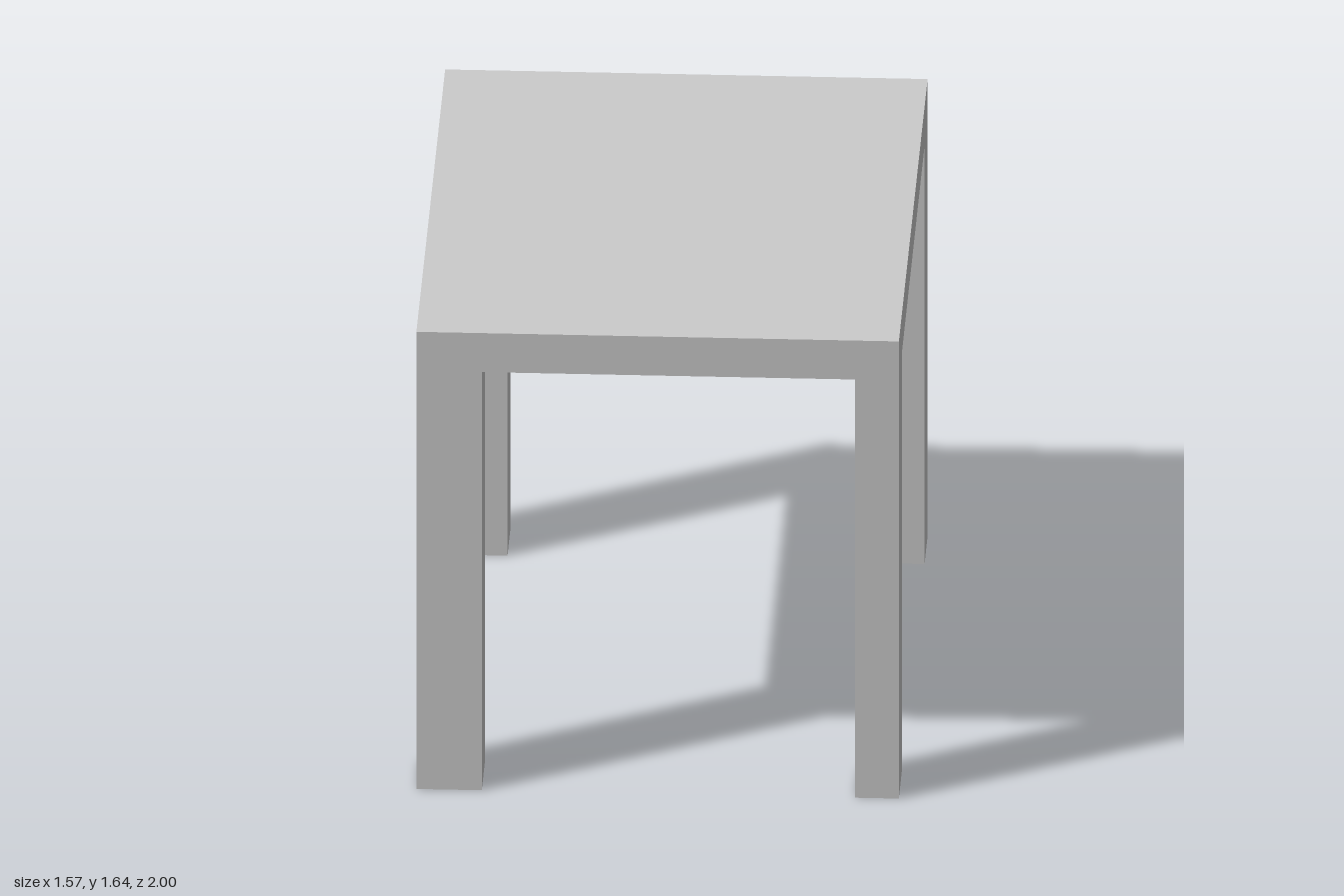
import * as THREE from 'three';

const WIDTH = 1.57, DEPTH = 2, HEIGHT = 1.643, UNDERSIDE = 1.503;
const LEG_DEPTH = 0.212;

export function createModel() {
  const table = new THREE.Group();
  table.name = 'table';
  const material = new THREE.MeshStandardMaterial({ color: 0xcccccc, flatShading: true });

  const addBox = (name, w, h, d, x, y, z) => {
    const mesh = new THREE.Mesh(new THREE.BoxGeometry(w, h, d), material);
    mesh.name = name;
    mesh.position.set(x, y, z);
    table.add(mesh);
  };

  // Slab top
  addBox('tabletop', WIDTH, HEIGHT - UNDERSIDE, DEPTH, 0, (HEIGHT + UNDERSIDE) / 2, 0);

  // Corner legs flush with the top's edges; the pair on -x is wider
  for (const [side, sx, legWidth] of [['Left', 1, 0.142], ['Right', -1, 0.213]]) {
    for (const [end, sz] of [['front', 1], ['back', -1]]) {
      addBox(`${end}${side}Leg`, legWidth, UNDERSIDE, LEG_DEPTH,
        sx * (WIDTH - legWidth) / 2, UNDERSIDE / 2, sz * (DEPTH - LEG_DEPTH) / 2);
    }
  }
  return table;
}
